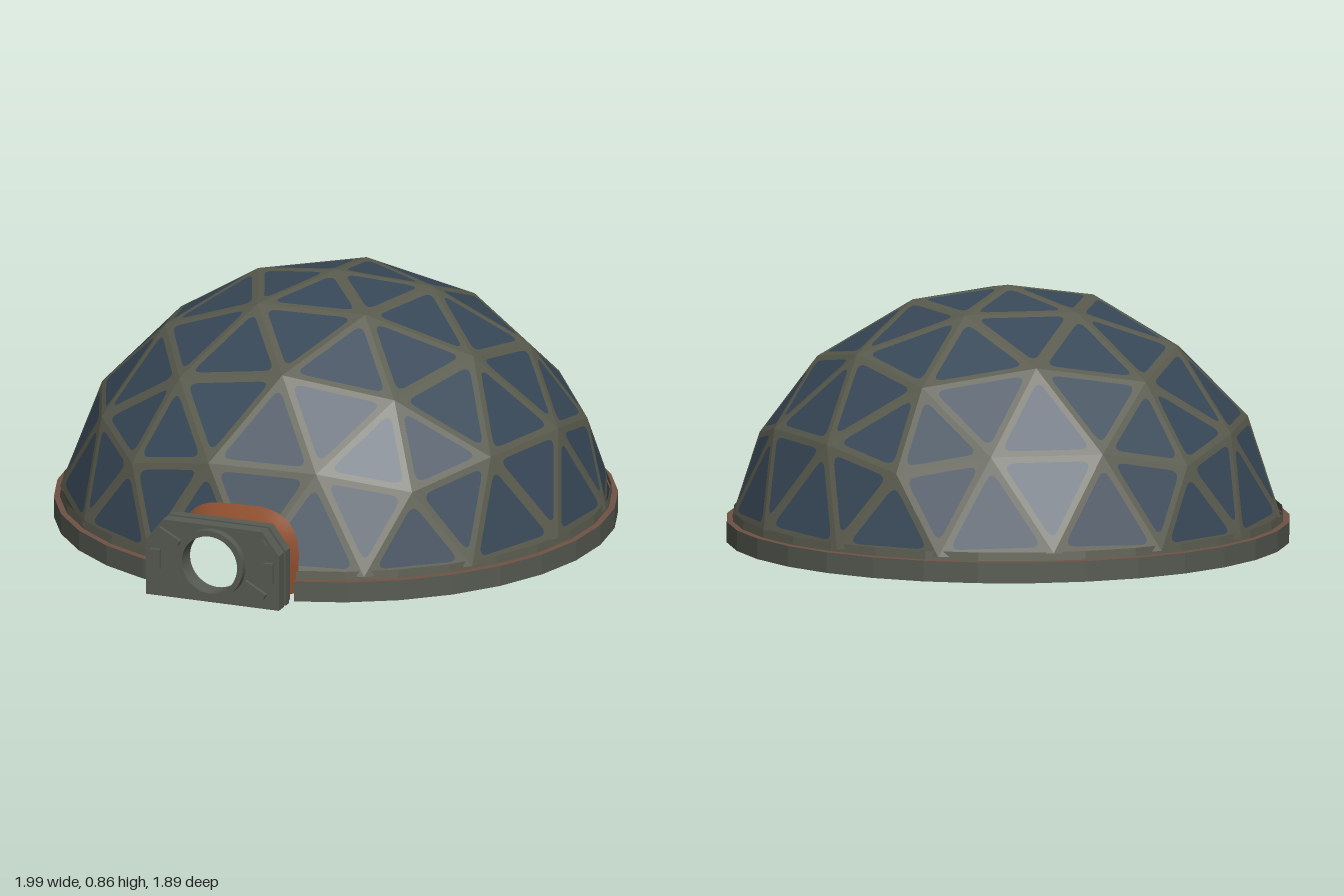
import * as THREE from 'three';
import { mergeGeometries } from 'three/addons/utils/BufferGeometryUtils.js';

const V = (x, y, z) => new THREE.Vector3(x, y, z);
const mat = (name, color) => new THREE.MeshStandardMaterial({ name, color, side: THREE.DoubleSide });

const R = 0.94, DROP = 0.08;           // sphere radius and depth of its centre below ground
const TURN = -58 * Math.PI / 180;      // heading of the airlock
const FLOOR = 0.02;

// Rounded arch outline from right foot to left foot
function arch(w, h, n = 20) {
  return Array.from({ length: n + 1 }, (_, i) => {
    const t = Math.PI * i / n, c = Math.cos(t), s = Math.max(0, Math.sin(t));
    return [w * Math.sign(c) * Math.abs(c) ** 0.6, FLOOR + h * s ** 0.6];
  });
}

// Split a polygon by a plane, keeping one side
function clip(poly, plane, sign) {
  const out = [];
  poly.forEach((p, i) => {
    const q = poly[(i + 1) % poly.length];
    const dp = sign * plane.distanceToPoint(p), dq = sign * plane.distanceToPoint(q);
    if (dp >= 0) out.push(p);
    if (dp * dq < 0) out.push(p.clone().lerp(q, dp / (dp - dq)));
  });
  return out;
}

// Remove the doorway from a geometry (airlock faces local +z)
const section = arch(0.225, 0.27);
const doorPlanes = section.slice(1).map(([x, y], i) => {
  const [px, py] = section[i];
  return new THREE.Plane().setFromNormalAndCoplanarPoint(V(y - py, px - x, 0).normalize(), V(x, y, 0));
});
function cutDoorway(geo) {
  const src = geo.index ? geo.toNonIndexed() : geo, pos = src.attributes.position, pts = [];
  const emit = poly => {
    for (let k = 2; k < poly.length; k++) pts.push(poly[0], poly[k - 1], poly[k]);
  };
  for (let i = 0; i < pos.count; i += 3) {
    let poly = [0, 1, 2].map(k => new THREE.Vector3().fromBufferAttribute(pos, i + k));
    if (poly[0].z + poly[1].z + poly[2].z < 0) { emit(poly); continue; }
    for (const pl of doorPlanes) {
      emit(clip(poly, pl, 1));
      poly = clip(poly, pl, -1);
      if (poly.length < 3) break;
    }
  }
  const out = new THREE.BufferGeometry().setFromPoints(pts);
  out.computeVertexNormals();
  return out;
}

// Upper triangles of a frequency-three icosahedral sphere
function domeTriangles() {
  const ring = (deg, y) => Array.from({ length: 5 }, (_, k) => {
    const a = (deg + 72 * k) * Math.PI / 180, r = Math.sqrt(1 - y * y);
    return V(r * Math.cos(a), y, -r * Math.sin(a));
  });
  const top = V(0, 1, 0), up = ring(180, Math.sqrt(0.2)), low = ring(216, -Math.sqrt(0.2));
  const tris = [];
  for (let k = 0; k < 5; k++) {
    const n = (k + 1) % 5;
    for (const [a, b, c] of [[top, up[k], up[n]], [up[k], low[k], up[n]], [up[n], low[k], low[n]]]) {
      const p = (i, j) => a.clone().multiplyScalar(3 - i - j).addScaledVector(b, i).addScaledVector(c, j).normalize();
      for (let i = 0; i < 3; i++) for (let j = 0; i + j < 3; j++) {
        tris.push([p(i, j), p(i + 1, j), p(i, j + 1)]);
        if (i + j < 2) tris.push([p(i + 1, j), p(i + 1, j + 1), p(i, j + 1)]);
      }
    }
  }
  return tris.filter(t => t.every(v => v.y > 0.15))
    .map(t => t.map(v => v.multiplyScalar(R).add(V(0, -DROP, 0))));
}

// One triangle: a rounded panel and the strut frame around it
function domeCell([a, b, c]) {
  const ex = b.clone().sub(a).normalize(), ez = ex.clone().cross(c.clone().sub(a)).normalize();
  const m = new THREE.Matrix4().makeBasis(ex, ez.clone().cross(ex), ez).setPosition(a);
  const inv = m.clone().invert();
  const tri = [a, b, c].map(v => { const p = v.clone().applyMatrix4(inv); return new THREE.Vector2(p.x, p.y); });
  const sides = tri.map((p, i) => p.distanceTo(tri[(i + 1) % 3]));
  const per = sides[0] + sides[1] + sides[2];
  const area = Math.abs(tri[1].clone().sub(tri[0]).cross(tri[2].clone().sub(tri[0]))) / 2;
  const centre = new THREE.Vector2();
  tri.forEach((p, i) => centre.addScaledVector(p, sides[(i + 1) % 3] / per));
  const inner = tri.map(p => p.clone().lerp(centre, 0.022 * per / (2 * area)));
  const panel = new THREE.Shape();
  inner.forEach((p, i) => {
    const near = q => p.clone().lerp(q, 0.04 / p.distanceTo(q));
    const s = near(inner[(i + 2) % 3]), e = near(inner[(i + 1) % 3]);
    if (i) panel.lineTo(s.x, s.y); else panel.moveTo(s.x, s.y);
    panel.quadraticCurveTo(p.x, p.y, e.x, e.y);
  });
  panel.closePath();
  const frame = new THREE.Shape(tri);
  frame.holes.push(new THREE.Path(panel.getPoints(4)));
  return [panel, frame].map(s => new THREE.ShapeGeometry(s, 4).applyMatrix4(m));
}

export function createModel() {
  const strut = mat('strut olive grey', 0x5a5b4e), glass = mat('panel slate blue', 0x384858);
  const steel = mat('frame grey', 0x575b52), rust = mat('tunnel rust', 0x8a4c2d);
  const rimBrown = mat('rim brown', 0x6f5144), dark = mat('dark lining', 0x2b2c28);

  const model = new THREE.Group();
  model.name = 'domeHabitat';
  const body = new THREE.Group();
  body.name = 'turnedBody';
  body.position.x = 0.05;
  body.rotation.y = TURN;
  model.add(body);
  const add = (name, geo, material, x = 0, y = 0, z = 0) => {
    const mesh = new THREE.Mesh(geo, material);
    mesh.name = name;
    mesh.position.set(x, y, z);
    body.add(mesh);
    return mesh;
  };

  // Geodesic dome
  const cells = domeTriangles().map(domeCell);
  ['domePanels', 'domeStruts'].forEach((name, k) =>
    add(name, cutDoorway(mergeGeometries(cells.map(c => c[k])).rotateY(-TURN)), k ? strut : glass));

  // Base ring, one band per colour
  const band = (name, material, ...pts) => add(name, cutDoorway(
    new THREE.LatheGeometry(pts.map(p => new THREE.Vector2(...p)), 32).rotateY(-TURN)), material);
  band('baseRingWall', steel, [0.885, 0], [0.945, 0], [0.945, 0.07]);
  band('baseRingTop', rimBrown, [0.945, 0.07], [0.92, 0.072]);
  band('domeSkirt', strut, [0.925, 0.07], [0.921, 0.1]);
  band('baseRingLining', dark, [0.92, 0.072], [0.885, 0.07], [0.885, 0]);

  // Flared tunnel whose root follows the dome
  const rootZ = (x, y) => Math.sqrt(0.9 ** 2 - x * x - (y + DROP) ** 2);
  const N = 20, rows = 6, verts = [], index = [];
  for (let r = 0; r <= rows; r++) {
    const t = r / rows, flare = t * t;
    arch(0.198 + 0.037 * flare - 0.03 * t * (1 - t), 0.24 + 0.04 * flare - 0.03 * t * (1 - t), N).forEach(([x, y], i) => {
      verts.push(x, y, THREE.MathUtils.lerp(0.985, rootZ(x, y), t));
      if (r && i) {
        const b = r * (N + 1) + i, a = b - N - 1;
        index.push(a - 1, b - 1, a, a, b - 1, b);
      }
    });
  }
  const tunnel = new THREE.BufferGeometry();
  tunnel.setAttribute('position', new THREE.Float32BufferAttribute(verts, 3));
  tunnel.setIndex(index);
  tunnel.computeVertexNormals();
  add('airlockTunnel', tunnel, rust);
  const collarPath = new THREE.CatmullRomCurve3(arch(0.235, 0.28, N).map(([x, y]) => V(x, y, rootZ(x, y))));
  add('tunnelCollar', new THREE.TubeGeometry(collarPath, 48, 0.014, 6), strut);

  // Airlock housing: hollow surround, faceplate with round opening, raised ring
  const extrude = (shape, depth) => new THREE.ExtrudeGeometry(shape, { depth, bevelEnabled: false, curveSegments: 24 });
  const outline = (w, y0, y1, ch) => [[w, y0], [w, y1 - ch * 1.3], [w - ch, y1], [ch - w, y1], [-w, y1 - ch * 1.3], [-w, y0]];
  const toShape = pts => new THREE.Shape(pts.map(p => new THREE.Vector2(...p)));
  const surround = (w, y1) => toShape([...outline(w, FLOOR, y1, 0.06), ...arch(0.19, 0.235).reverse()]);
  add('housingBack', extrude(surround(0.228, 0.28), 0.035), steel, 0, 0, 0.96);
  add('housingMiddle', extrude(surround(0.24, 0.29), 0.03), steel, 0, 0, 0.995);
  add('housingGroove', extrude(surround(0.232, 0.283), 0.015), steel, 0, 0, 1.025);
  const plate = toShape(outline(0.24, FLOOR, 0.29, 0.06));
  plate.holes.push(new THREE.Path().absarc(0, 0.16, 0.1, 0, Math.PI * 2, true));
  add('facePlate', extrude(plate, 0.045), steel, 0, 0, 1.04);
  const ring = new THREE.Shape().absarc(0, 0.16, 0.12, 0, Math.PI * 2);
  ring.holes.push(new THREE.Path().absarc(0, 0.16, 0.1, 0, Math.PI * 2, true));
  add('hatchRing', extrude(ring, 0.03), steel, 0, 0, 1.083);

  // Corner braces and side clamps on the faceplate
  for (const sx of [-1, 1]) {
    for (const sy of [-1, 1]) {
      add('cornerBrace', new THREE.BoxGeometry(0.085, 0.022, 0.016), steel, sx * 0.155, 0.16 + sy * 0.075, 1.09)
        .rotation.z = sx * sy * 0.5;
    }
    add('sideClamp', new THREE.BoxGeometry(0.035, 0.07, 0.016), steel, sx * 0.205, 0.15, 1.09);
  }
  return model;
}
